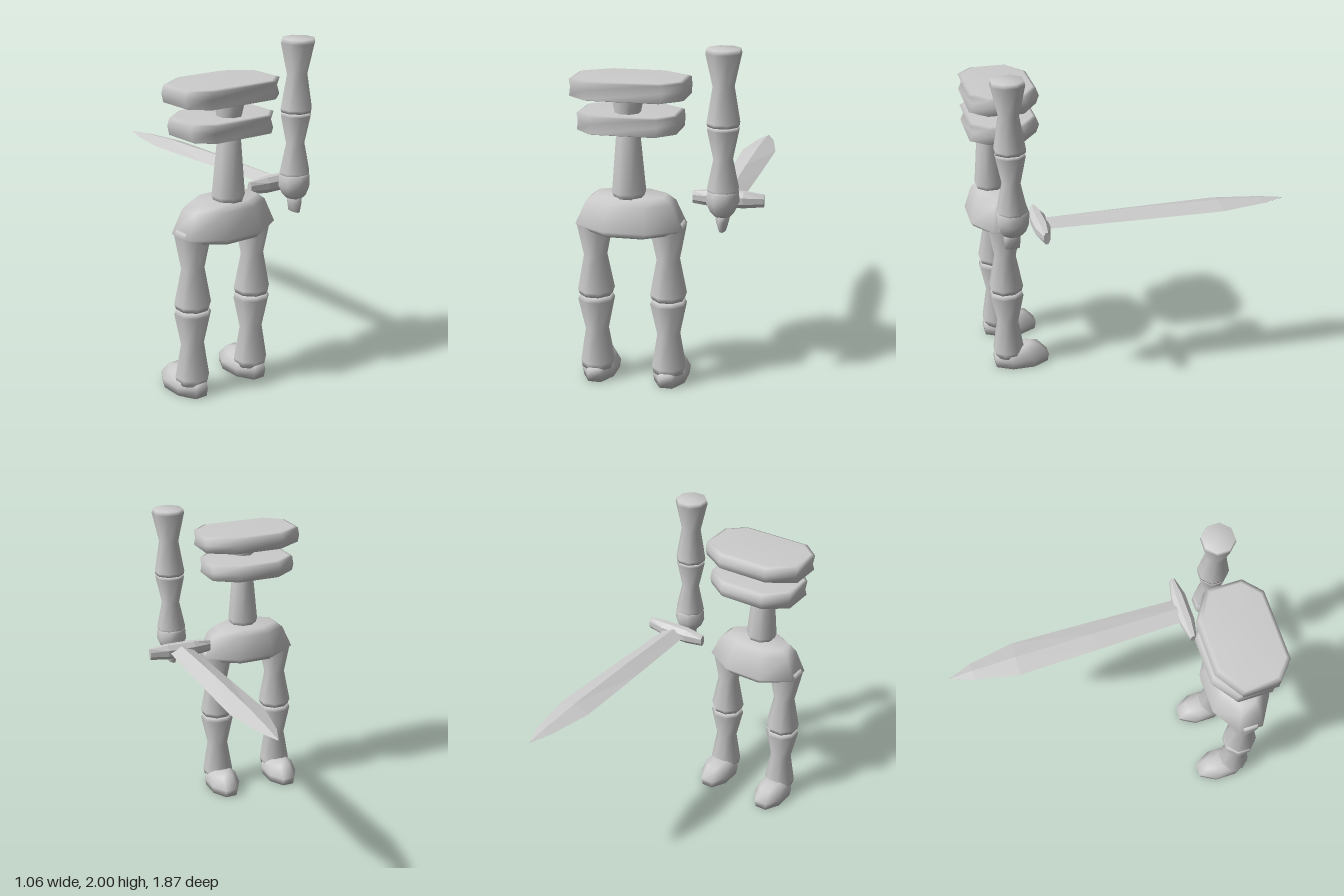
import * as THREE from 'three';

const boneMat = new THREE.MeshStandardMaterial({ color: 0xcccccc });
boneMat.name = 'pale grey';

// Unit octagon with flat sides on the axes, counter-clockwise from above
const OCT = Array.from({ length: 8 }, (_, i) => {
  const a = (i + 0.5) * Math.PI / 4, k = 1 / Math.cos(Math.PI / 8);
  return [Math.cos(a) * k, -Math.sin(a) * k];
});
// Rib plate outline, longer at the back edge than at the front
const PLATE = [[1, -0.5], [0.5, -1], [-0.5, -1], [-1, -0.5], [-1, 0.53], [-0.67, 1], [0.67, 1], [1, 0.53]];
const DIAMOND = [[1, 0], [0, -1], [-1, 0], [0, 1]];

// Ring: { y, hx, hz, cx, cz, tilt } - half sizes, centre and slope of y along z
function loft(outline, rings, flat = false) {
  const n = outline.length, pos = [], idx = [];
  const centre = r => [r.cx || 0, r.y, r.cz || 0];
  for (const r of rings) {
    for (const [x, z] of outline) {
      pos.push((r.cx || 0) + x * r.hx, r.y + (r.tilt || 0) * z * r.hz, (r.cz || 0) + z * r.hz);
    }
  }
  const m = rings.length, bottom = n * m, top = bottom + 1;
  pos.push(...centre(rings[0]), ...centre(rings[m - 1]));
  for (let j = 0; j < m - 1; j++) {
    for (let i = 0; i < n; i++) {
      const a = j * n + i, b = j * n + (i + 1) % n;
      idx.push(a, b, b + n, a, b + n, a + n);
    }
  }
  for (let i = 0; i < n; i++) {
    const k = (i + 1) % n, t = (m - 1) * n;
    idx.push(bottom, k, i, top, t + i, t + k);
  }
  let g = new THREE.BufferGeometry();
  g.setAttribute('position', new THREE.Float32BufferAttribute(pos, 3));
  g.setIndex(idx);
  if (flat) g = g.toNonIndexed();
  g.computeVertexNormals();
  return g;
}

export function createModel() {
  const model = new THREE.Group();
  model.name = 'skeletonSwordsman';

  const add = (name, geometry, x = 0, y = 0, z = 0) => {
    const mesh = new THREE.Mesh(geometry, boneMat);
    mesh.name = name;
    mesh.position.set(x, y, z);
    model.add(mesh);
    return mesh;
  };
  // Hourglass bone from [height, radius] pairs
  const bone = (name, profile, x, z) =>
    add(name, loft(OCT, profile.map(([y, r]) => ({ y, hx: r, hz: r }))), x, 0, z);

  // Legs and feet, toes towards -z
  for (const [side, x] of [['right', -0.427], ['left', 0.005]]) {
    bone(side + 'Shin', [[0.07, 0.085], [0.11, 0.093], [0.31, 0.063], [0.5, 0.1], [0.527, 0.09]], x, 0.75);
    bone(side + 'Thigh', [[0.53, 0.09], [0.56, 0.1], [0.77, 0.063], [0.97, 0.1], [1.0, 0.09]], x, 0.75);
    add(side + 'Foot', loft(OCT, [
      { y: 0, hx: 0.092, hz: 0.165, cz: 0.672 },
      { y: 0.05, hx: 0.1, hz: 0.173, cz: 0.672 },
      { y: 0.105, hx: 0.085, hz: 0.14, cz: 0.7, tilt: -0.12 },
      { y: 0.13, hx: 0.05, hz: 0.075, cz: 0.69, tilt: -0.12 },
    ]), x);
  }

  // Pelvis
  add('pelvis', loft(OCT, [
    { y: 0.935, hx: 0.25, hz: 0.165, cz: 0.752 },
    { y: 0.97, hx: 0.31, hz: 0.187, cz: 0.752 },
    { y: 1.11, hx: 0.25, hz: 0.145, cz: 0.752 },
    { y: 1.15, hx: 0.2, hz: 0.115, cz: 0.752 },
  ]), -0.21);

  // Spine
  bone('spine', [[1.14, 0.078], [1.175, 0.09], [1.52, 0.062], [1.6, 0.062], [1.74, 0.088], [1.79, 0.08]], -0.21, 0.79);

  // Rib plates, mid-height pushed towards the chest
  for (const [name, y, hx] of [['lowerRibs', 1.52, 0.285], ['upperRibs', 1.71, 0.325]]) {
    add(name, loft(PLATE, [
      { y: 0, hx: hx * 0.93, hz: 0.185, cz: 0.72 },
      { y: 0.008, hx, hz: 0.205, cz: 0.722 },
      { y: 0.056, hx, hz: 0.203, cz: 0.702 },
      { y: 0.104, hx, hz: 0.205, cz: 0.722 },
      { y: 0.112, hx: hx * 0.93, hz: 0.185, cz: 0.72 },
    ]), -0.21, y);
  }

  // Arm hanging beside the body
  bone('upperArm', [[1.57, 0.085], [1.59, 0.088], [1.79, 0.057], [1.975, 0.095], [2, 0.09]], 0.32, 0.747);
  bone('forearm', [[1.17, 0.075], [1.21, 0.085], [1.38, 0.052], [1.55, 0.085], [1.567, 0.082]], 0.32, 0.747);
  add('hand', loft(OCT, [
    { y: 1.05, hx: 0.042, hz: 0.05 },
    { y: 1.08, hx: 0.068, hz: 0.075 },
    { y: 1.13, hx: 0.088, hz: 0.092 },
    { y: 1.19, hx: 0.084, hz: 0.09 },
    { y: 1.21, hx: 0.07, hz: 0.075 },
  ]), 0.32, 0, 0.747);
  add('fingers', loft(OCT, [
    { y: 0.965, hx: 0.018, hz: 0.042 },
    { y: 1.02, hx: 0.034, hz: 0.048 },
    { y: 1.08, hx: 0.042, hz: 0.048 },
  ]), 0.32, 0, 0.753);

  // Sword guard, lofted along x
  const guard = add('swordGuard', loft(OCT, [
    { y: -0.207, hx: 0.036, hz: 0.018 },
    { y: -0.09, hx: 0.047, hz: 0.045 },
    { y: 0.09, hx: 0.047, hz: 0.045 },
    { y: 0.207, hx: 0.036, hz: 0.018 },
  ], true), 0.322, 1.102, 0.586);
  guard.rotation.z = -Math.PI / 2;

  // Diamond-section blade, lofted towards -z
  const blade = add('swordBlade', loft(DIAMOND, [
    { y: 0, hx: 0.08, hz: 0.036 },
    { y: 0.55, hx: 0.097, hz: 0.04 },
    { y: 1.06, hx: 0.108, hz: 0.033 },
    { y: 1.34, hx: 0.055, hz: 0.017 },
    { y: 1.485, hx: 0.001, hz: 0.001 },
  ], true), 0.322, 1.102, 0.55);
  blade.rotation.x = -Math.PI / 2;

  return model;
}
